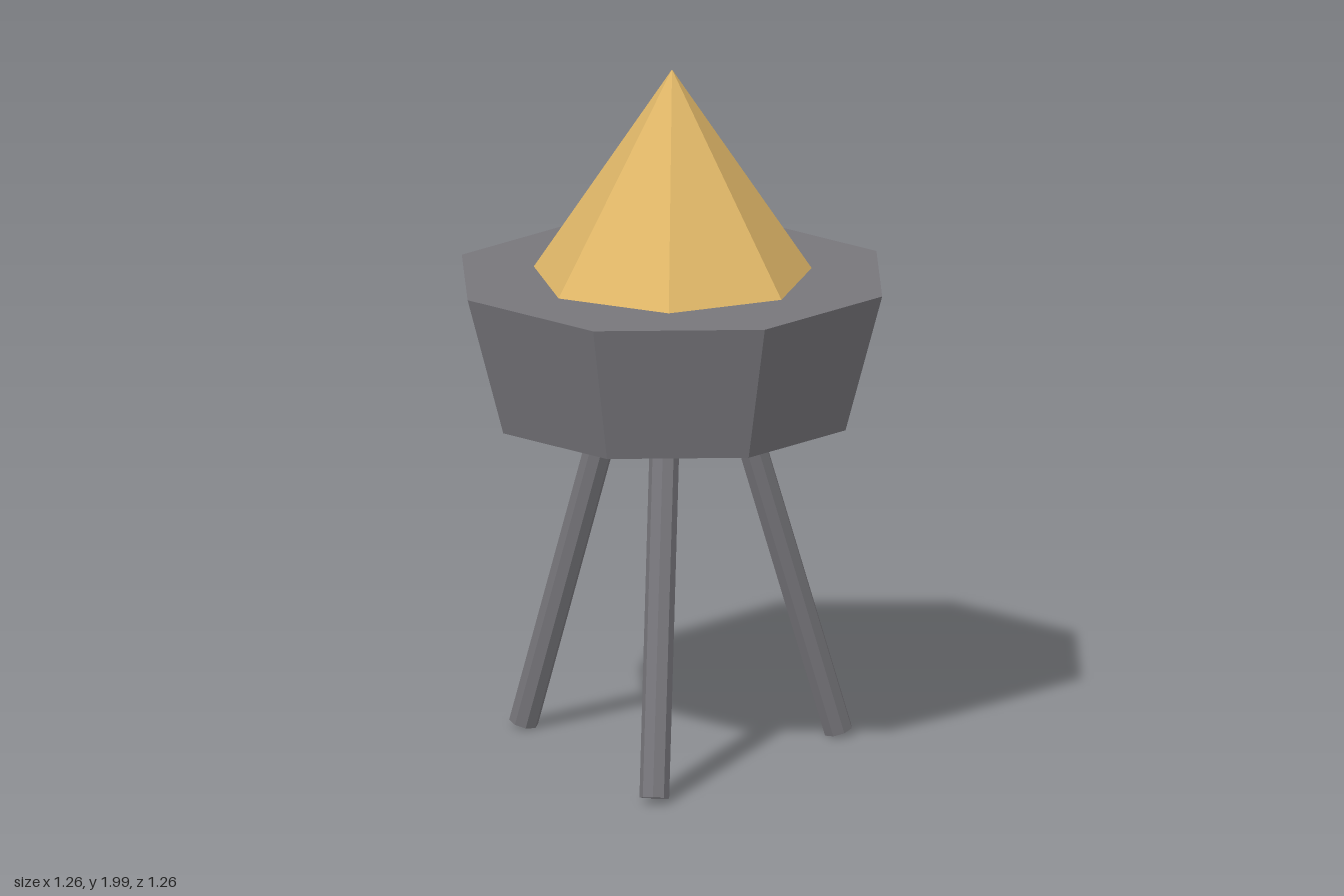
import * as THREE from 'three';

export function createModel() {
  const model = new THREE.Group();
  const stone = new THREE.MeshStandardMaterial({ color: 0x77767b, flatShading: true });
  stone.name = 'grey';
  const gold = new THREE.MeshStandardMaterial({ color: 0xe0b768, flatShading: true });
  gold.name = 'gold';

  const add = (name, geometry, material) => {
    const mesh = new THREE.Mesh(geometry, material);
    mesh.name = name;
    model.add(mesh);
    return mesh;
  };

  // Eight-sided bowl, wider at the rim
  add('bowl', new THREE.CylinderGeometry(0.63, 0.52, 0.4, 8), stone).position.y = 1.2;

  // Seven-sided peak with one corner pointing to the back
  const peak = add('peak', new THREE.ConeGeometry(0.4, 0.6, 7), gold);
  peak.position.y = 1.7;
  peak.rotation.y = Math.PI;

  // Three splayed legs, the first towards +x, ending just inside the bowl
  const foot = new THREE.Vector3(0.512, 0.02, 0);
  const top = new THREE.Vector3(0.2, 1.03, 0);
  const direction = top.clone().sub(foot);
  const legGeometry = new THREE.CylinderGeometry(0.042, 0.042, direction.length(), 8);
  legGeometry.rotateZ(Math.atan2(-direction.x, direction.y));
  legGeometry.translate((foot.x + top.x) / 2, (foot.y + top.y) / 2, 0);
  for (let i = 0; i < 3; i++) {
    add('leg' + (i + 1), legGeometry, stone).rotation.y = (i * 2 * Math.PI) / 3;
  }

  return model;
}
